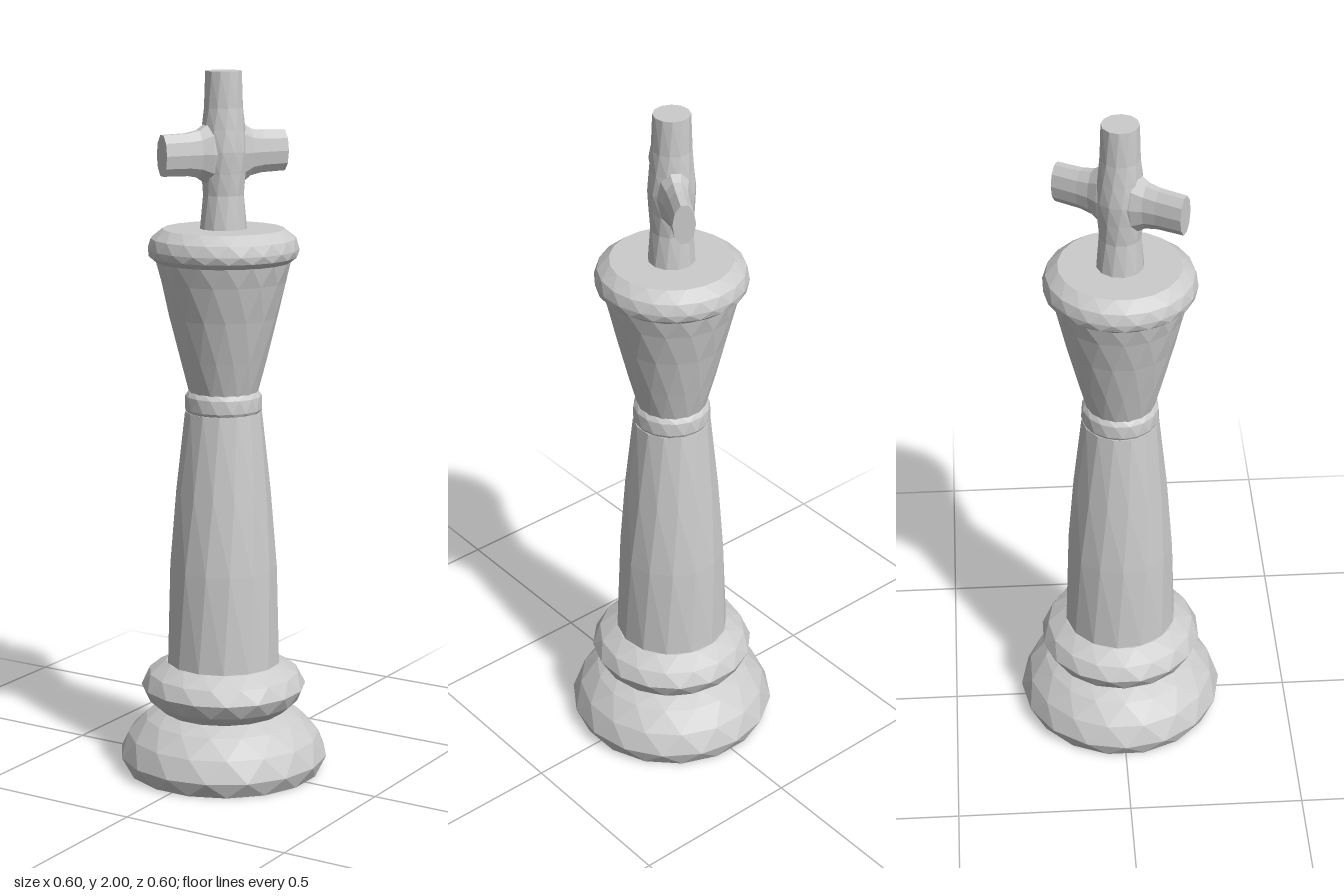
import * as THREE from 'three';

const material = new THREE.MeshStandardMaterial({ color: 0xcccccc, flatShading: true });

// Faceted turned solid: profile is [radius, height] pairs from bottom to top.
// Each ring is turned by a share of one side so the facets become triangles.
function turned(name, profile, sides, stagger = 0.5) {
  const points = profile.map(([r, y]) => new THREE.Vector2(r, y));
  const geometry = new THREE.LatheGeometry(points, sides);
  const pos = geometry.attributes.position;
  const v = new THREE.Vector3();
  const up = new THREE.Vector3(0, 1, 0);
  for (let i = 0; i < pos.count; i++) {
    const ring = i % points.length;
    v.fromBufferAttribute(pos, i).applyAxisAngle(up, ring * stagger * Math.PI * 2 / sides);
    pos.setXYZ(i, v.x, v.y, v.z);
  }
  geometry.computeVertexNormals();
  const mesh = new THREE.Mesh(geometry, material);
  mesh.name = name;
  return mesh;
}

export function createModel() {
  const king = new THREE.Group();
  king.name = 'chessKing';

  // Foot and stem
  king.add(turned('base', [[0, 0], [0.28, 0], [0.3, 0.045], [0.275, 0.105], [0.225, 0.155], [0.18, 0.178], [0, 0.178]], 16));
  king.add(turned('baseCollar', [[0, 0.17], [0.175, 0.175], [0.215, 0.208], [0.236, 0.25], [0.215, 0.29], [0.165, 0.32], [0, 0.32]], 16));
  king.add(turned('stem', [[0, 0.31], [0.163, 0.315], [0.153, 0.6], [0.134, 0.82], [0.109, 1.05], [0, 1.05]], 14, 0.25));
  king.add(turned('neckRing', [[0, 1.04], [0.1, 1.04], [0.11, 1.058], [0.108, 1.095], [0.098, 1.108], [0, 1.108]], 16));

  // Flared head and rounded crown rim
  king.add(turned('head', [[0, 1.1], [0.096, 1.1], [0.123, 1.2], [0.152, 1.32], [0.176, 1.42], [0.19, 1.48], [0, 1.48]], 16));
  king.add(turned('crownRim', [[0, 1.475], [0.19, 1.475], [0.208, 1.49], [0.212, 1.51], [0.203, 1.54], [0.17, 1.566], [0, 1.566]], 20));

  // Cross on top, with its arms turned away from the front
  const cross = new THREE.Group();
  cross.name = 'cross';
  cross.add(turned('crossPost', [[0, 1.56], [0.066, 1.56], [0.058, 1.66], [0.062, 1.72], [0.066, 1.78], [0.061, 1.84], [0.055, 1.9], [0.051, 2], [0, 2]], 12, 0.25));
  for (const side of [0, 1]) {
    const arm = turned(side ? 'rightCrossArm' : 'leftCrossArm',
      [[0.1, 0], [0.088, 0.05], [0.068, 0.08], [0.061, 0.115], [0.059, 0.19], [0, 0.19]], 10, 0);
    // Lay the arm on its side and narrow it to a tall oval
    arm.geometry.rotateZ(-Math.PI / 2);
    arm.geometry.scale(1, 1, 0.53);
    arm.geometry.computeVertexNormals();
    arm.rotation.y = Math.PI / 3 + side * Math.PI;
    arm.position.y = 1.775;
    cross.add(arm);
  }
  king.add(cross);
  return king;
}
